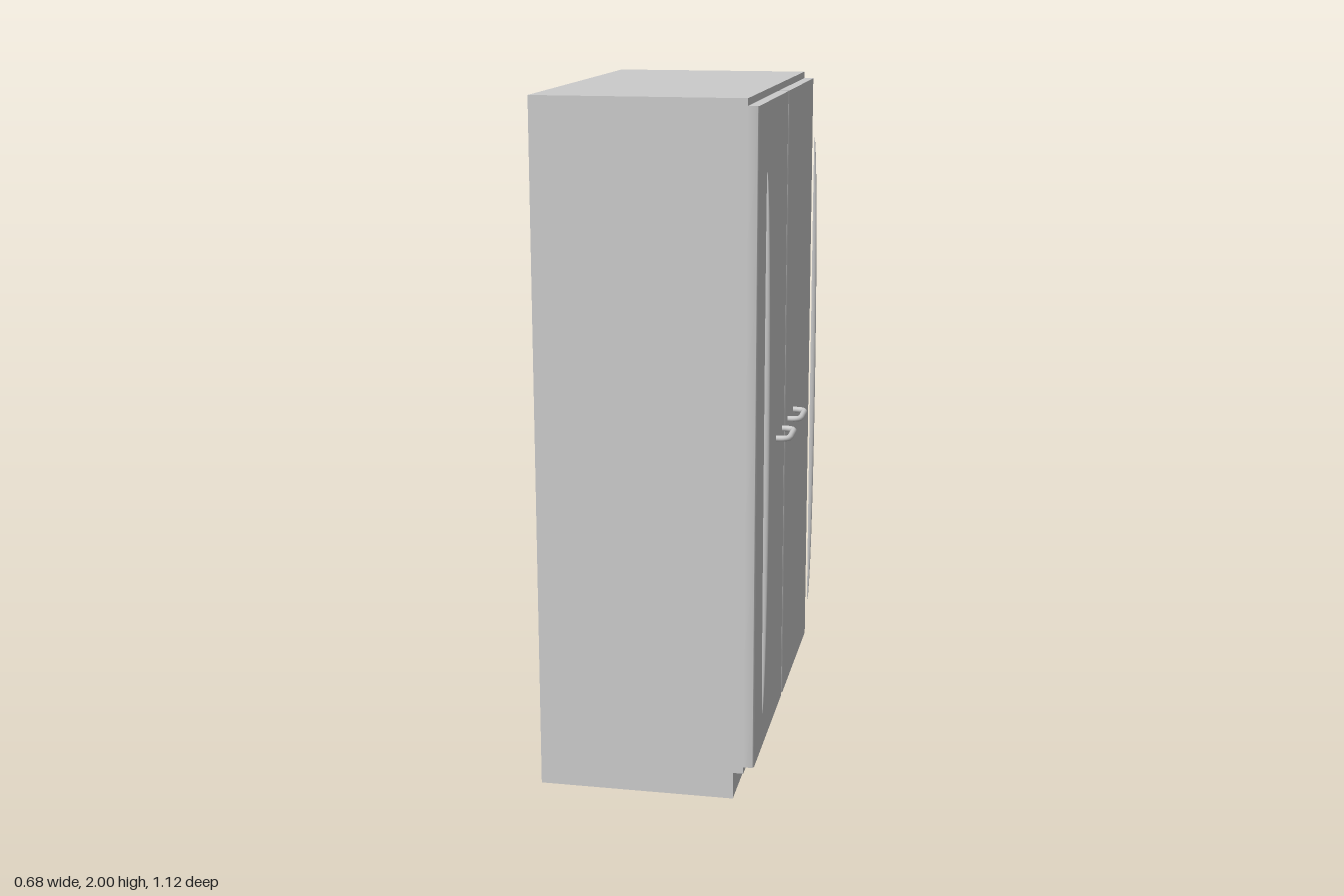
import * as THREE from 'three';
import { toCreasedNormals } from 'three/addons/utils/BufferGeometryUtils.js';

const grey = new THREE.MeshStandardMaterial({ color: 0xcccccc });

function add(parent, name, geometry) {
  const mesh = new THREE.Mesh(geometry, grey);
  mesh.name = name;
  parent.add(mesh);
  return mesh;
}

// Box given by its limits on each axis
function boxBetween(x0, x1, y0, y1, z0, z1) {
  return new THREE.BoxGeometry(x1 - x0, y1 - y0, z1 - z0)
    .translate((x0 + x1) / 2, (y0 + y1) / 2, (z0 + z1) / 2);
}

// Door panel: plan outline with rounded front edges, extruded upwards
function doorGeometry(z0, z1) {
  const back = 0.26, front = 0.29, r = 0.01;
  const s = new THREE.Shape();
  s.moveTo(back, z0);
  s.lineTo(front - r, z0);
  s.absarc(front - r, z0 + r, r, -Math.PI / 2, 0, false);
  s.lineTo(front, z1 - r);
  s.absarc(front - r, z1 - r, r, 0, Math.PI / 2, false);
  s.lineTo(back, z1);
  s.closePath();
  const g = new THREE.ExtrudeGeometry(s, { depth: 1.88, bevelEnabled: false, curveSegments: 6 });
  g.rotateX(-Math.PI / 2).translate(0, 0.1, 0);
  return toCreasedNormals(g, 0.6);
}

// D-shaped pull: two legs joined to a bar by round bends
function handlePath(z0, z1) {
  const p = (x, z) => new THREE.Vector3(x, 0.98, z);
  const base = 0.288, out = 0.328, r = 0.028;
  const path = new THREE.CurvePath();
  path.add(new THREE.LineCurve3(p(base, z0), p(out - r, z0)));
  path.add(new THREE.QuadraticBezierCurve3(p(out - r, z0), p(out, z0), p(out, z0 + r)));
  path.add(new THREE.LineCurve3(p(out, z0 + r), p(out, z1 - r)));
  path.add(new THREE.QuadraticBezierCurve3(p(out, z1 - r), p(out, z1), p(out - r, z1)));
  path.add(new THREE.LineCurve3(p(out - r, z1), p(base, z1)));
  return path;
}

export function createModel() {
  const model = new THREE.Group();
  model.name = 'wardrobe';

  // Carcass on a recessed plinth
  add(model, 'carcass', boxBetween(-0.34, 0.26, 0.08, 2, -0.5625, 0.5625));
  add(model, 'plinth', boxBetween(-0.34, 0.23, 0, 0.08, -0.5625, 0.5625));

  // Pair of doors, mirrored about the central gap
  for (const side of [-1, 1]) {
    const door = new THREE.Group();
    door.name = side > 0 ? 'leftDoor' : 'rightDoor';
    model.add(door);

    // Outline y becomes -z, so the limits are flipped
    const limits = [-side * 0.0075, -side * 0.5625].sort((a, b) => a - b);
    add(door, 'panel', doorGeometry(limits[0], limits[1]));

    const ends = [side * 0.06, side * 0.182].sort((a, b) => a - b);
    add(door, 'handle', new THREE.TubeGeometry(handlePath(ends[0], ends[1]), 40, 0.009, 12, false));

    // Slender tapering trim: half an ellipsoid with a flat back
    const trim = new THREE.Group();
    trim.name = 'trim';
    trim.position.set(0.303, 1.02, side * 0.5);
    trim.scale.set(0.015, 0.78, 0.01);
    add(trim, 'trimFront', new THREE.SphereGeometry(1, 16, 32, Math.PI / 2, Math.PI));
    add(trim, 'trimBack', new THREE.CircleGeometry(1, 64).rotateY(-Math.PI / 2));
    door.add(trim);
  }

  return model;
}
